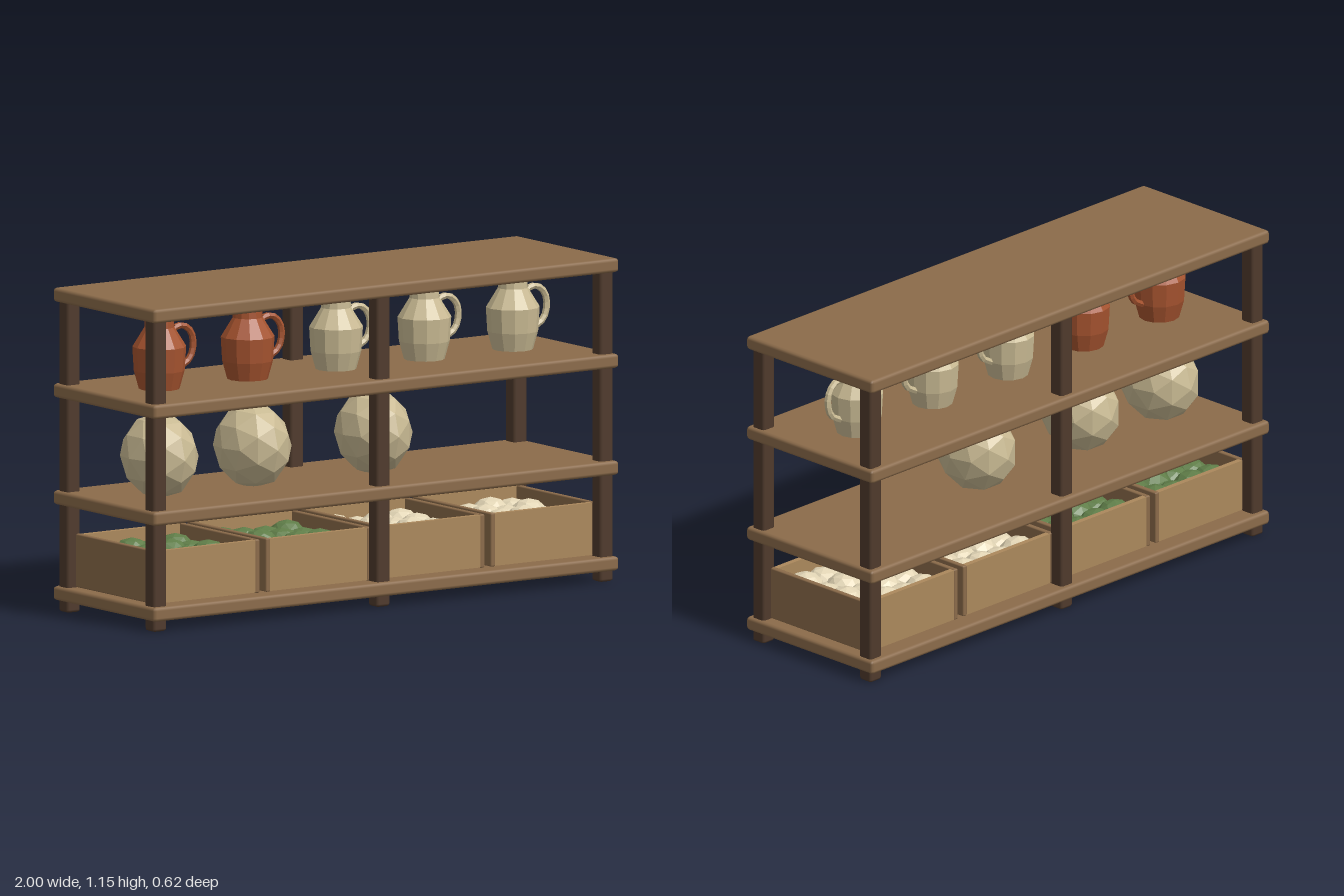
import * as THREE from 'three';
import { RoundedBoxGeometry } from 'three/addons/geometries/RoundedBoxGeometry.js';

const mat = (name, color, opts = {}) => {
  const m = new THREE.MeshStandardMaterial({ color, ...opts });
  m.name = name;
  return m;
};

export function createModel() {
  const model = new THREE.Group();
  model.name = 'storageShelf';

  const wood = mat('shelfWood', 0x8b6b4a);
  const darkWood = mat('darkWood', 0x4f3a2c);
  const crateWood = mat('crateWood', 0xab885c);
  const flat = { flatShading: true };
  const terracotta = mat('terracotta', 0xa5532f, { ...flat, side: THREE.DoubleSide });
  const clay = mat('paleClay', 0xc9ba93, { ...flat, side: THREE.DoubleSide });
  const green = mat('greenProduce', 0x5f7d48, flat);
  const cream = mat('creamProduce', 0xe2d5b5, flat);

  const add = (parent, name, geo, material, x = 0, y = 0, z = 0) => {
    const mesh = new THREE.Mesh(geo, material);
    mesh.name = name;
    mesh.position.set(x, y, z);
    parent.add(mesh);
    return mesh;
  };
  const group = (name, x, y) => {
    const g = new THREE.Group();
    g.name = name;
    g.position.set(x, y, 0);
    model.add(g);
    return g;
  };

  // Four boards with softened edges
  const boardGeo = new RoundedBoxGeometry(2, 0.05, 0.62, 1, 0.012);
  for (const y of [0.064, 0.404, 0.784, 1.124]) add(model, 'shelfBoard', boardGeo, wood, 0, y);

  // Six posts
  const postGeo = new RoundedBoxGeometry(0.057, 1.12, 0.057, 1, 0.01);
  for (const x of [-0.96, 0, 0.96])
    for (const z of [-0.262, 0.262]) add(model, 'post', postGeo, darkWood, x, 0.56, z);

  // Jugs: faceted body with a curved handle on the +x side
  const jugProfile = [
    [0, 0], [0.072, 0], [0.09, 0.065], [0.095, 0.15], [0.053, 0.218],
    [0.05, 0.265], [0.07, 0.285], [0.062, 0.288], [0.042, 0.262], [0.042, 0.22],
  ].map(([r, y]) => new THREE.Vector2(r, y));
  const jugGeo = new THREE.LatheGeometry(jugProfile, 12);
  const handlePath = new THREE.CatmullRomCurve3([
    [0.065, 0.21], [0.1, 0.216], [0.135, 0.19], [0.146, 0.145], [0.13, 0.095], [0.082, 0.066],
  ].map(([x, y]) => new THREE.Vector3(x, y, 0)));
  const handleGeo = new THREE.TubeGeometry(handlePath, 10, 0.012, 6);
  [terracotta, terracotta, clay, clay, clay].forEach((material, i) => {
    const jug = group('jug', -0.76 + i * 0.38, 0.809);
    add(jug, 'jugBody', jugGeo, material);
    add(jug, 'jugHandle', handleGeo, material);
  });

  // Round flasks, narrower across x, with dark stoppers
  const flaskGeo = new THREE.IcosahedronGeometry(0.157, 1).scale(0.83, 0.97, 1);
  const stopperGeo = new THREE.CylinderGeometry(0.031, 0.031, 0.05, 8);
  for (const x of [-0.76, -0.36, 0.16]) {
    const flask = group('flask', x, 0.57);
    add(flask, 'flaskBody', flaskGeo, clay);
    add(flask, 'stopper', stopperGeo, darkWood, 0, 0.143);
  }

  // Open crates with produce heaped inside
  const W = 0.455, H = 0.19, D = 0.48, T = 0.02;
  const endGeo = new RoundedBoxGeometry(T, H, D, 1, 0.005);
  const sideGeo = new THREE.BoxGeometry(W - 2 * T + 0.004, H - 0.004, T);
  const floorGeo = new THREE.BoxGeometry(W - T, 0.015, D - T);
  const produceGeo = new THREE.IcosahedronGeometry(0.068, 1).scale(1, 0.85, 1);
  [-0.724, -0.243, 0.243, 0.724].forEach((x, n) => {
    const crate = group('crate', x, 0.089);
    add(crate, 'crateFloor', floorGeo, crateWood, 0, 0.0085);
    for (const s of [-1, 1]) {
      add(crate, 'crateEnd', endGeo, wood, s * (W - T) / 2, H / 2);
      add(crate, 'crateSide', sideGeo, crateWood, 0, H / 2, s * ((D - T) / 2 - 0.002));
    }
    for (let i = 0; i < 4; i++)
      for (let j = 0; j < 4; j++) {
        const lift = 0.008 * Math.sin(i * 2.3 + j * 3.7 + n);
        const item = add(crate, 'produce', produceGeo, n < 2 ? green : cream,
          (i - 1.5) * 0.093, 0.108 + lift, (j - 1.5) * 0.1);
        item.rotation.y = i * 1.3 + j * 2.1;
      }
  });

  return model;
}
